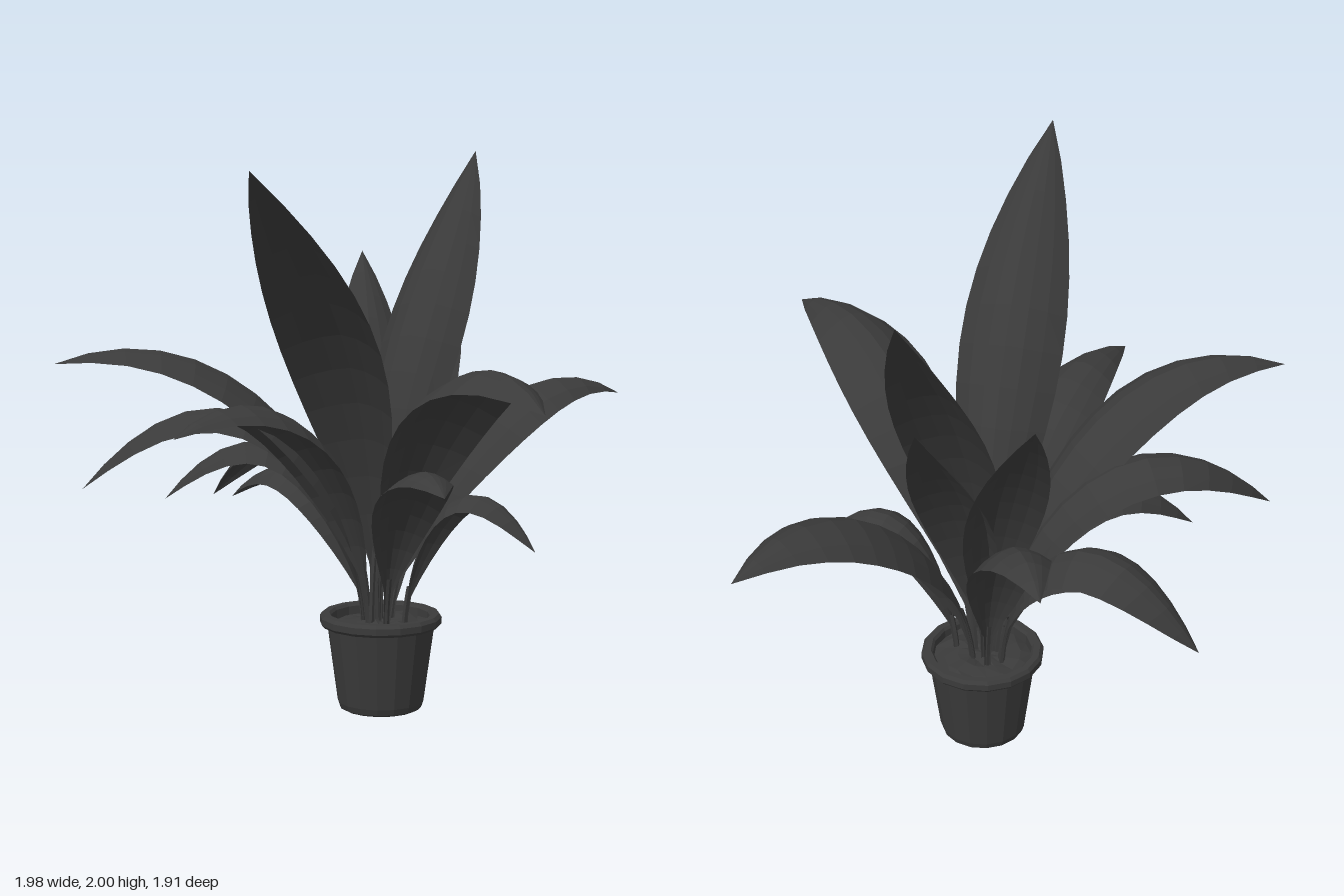
import * as THREE from 'three';

const CX = 0.13, CZ = -0.14; // pot centre
const material = new THREE.MeshStandardMaterial({ color: 0x3a3a3a, flatShading: true, side: THREE.DoubleSide });

// tip x, y, z, half width, heights of the two inner control points of the arch,
// distance of the stalk foot from the pot centre, sideways bow
const LEAVES = [
  [-0.22, 1.99, 0.82, 0.19, 1.28, 1.66, 0.02, -0.02],
  [0.44, 2.00, -0.76, 0.165, 1.20, 1.58, -0.07, 0.03],
  [-0.99, 1.29, 0.18, 0.17, 0.95, 1.53, 0.04, -0.14],
  [-0.93, 0.82, 0.01, 0.14, 0.94, 1.44, 0.05, 0.12],
  [0.72, 1.24, 0.95, 0.185, 0.98, 1.59, 0.04, 0],
  [0.40, 0.94, 0.76, 0.125, 0.72, 1.13, 0.09, 0],
  [-0.49, 1.11, 0.70, 0.15, 0.95, 1.38, 0.06, 0],
  [0.69, 0.65, 0.18, 0.10, 0.70, 1.06, 0.10, 0],
  [0.99, 1.09, -0.74, 0.175, 0.82, 1.38, 0.04, 0.05],
  [0.01, 1.10, -0.96, 0.135, 0.80, 1.29, 0.07, 0],
  [0.01, 1.62, -0.78, 0.14, 0.95, 1.34, 0.02, 0],
  [-0.56, 0.68, -0.70, 0.14, 0.80, 1.28, 0.08, 0.08],
  [-0.46, 0.71, -0.50, 0.125, 0.75, 1.04, 0.07, 0],
  [-0.64, 0.78, -0.04, 0.13, 0.85, 1.25, 0.06, 0],
  [0.38, 1.53, -0.61, 0.14, 1.00, 1.20, -0.02, 0],
];

// Arching midrib from the soil to the leaf tip
function midrib([x, y, z, , a, b, foot, bow]) {
  const dir = new THREE.Vector3(x - CX, 0, z - CZ);
  const reach = dir.length();
  dir.normalize();
  const side = new THREE.Vector3(-dir.z, 0, dir.x);
  const at = (s, h) => new THREE.Vector3(CX, h, CZ).addScaledVector(dir, foot + s * (reach - foot));
  const curve = new THREE.CubicBezierCurve3(
    at(0, 0.29), at(0.04, a), at(0.5, b).addScaledVector(side, bow), at(1, y));
  return { curve, side };
}

// Blade: rounded sections with drooping edges swept along the midrib
function bladeGeometry(curve, side, halfWidth) {
  const rows = 14, cols = 6, pos = [], index = [];
  for (let i = 0; i <= rows; i++) {
    const t = i / rows;
    const p = curve.getPointAt(t);
    const up = side.clone().cross(curve.getTangentAt(t)).normalize();
    const u = Math.max(0, (t - 0.1) / 0.9);
    const bulge = Math.pow(Math.abs(Math.sin(Math.PI * Math.pow(u, 1.12))), 0.88);
    const w = i === rows ? 0 : Math.max(0.012, halfWidth * bulge);
    for (let j = 0; j <= cols; j++) {
      const k = j / cols * 2 - 1;
      const droop = 0.12 * Math.abs(k) + 0.4 * k * k;
      const v = p.clone().addScaledVector(side, k * w).addScaledVector(up, -droop * w);
      pos.push(v.x, v.y, v.z);
    }
  }
  for (let i = 0; i < rows; i++) {
    for (let j = 0; j < cols; j++) {
      const a = i * (cols + 1) + j, b = a + cols + 1;
      index.push(a, a + 1, b, a + 1, b + 1, b);
    }
  }
  const g = new THREE.BufferGeometry();
  g.setAttribute('position', new THREE.Float32BufferAttribute(pos, 3));
  g.setIndex(index);
  g.computeVertexNormals();
  return g;
}

// Stalk: slim tube along the lowest part of the midrib
function stalkGeometry(curve) {
  const pts = [0, 0.06, 0.12, 0.18].map(t => curve.getPointAt(t));
  return new THREE.TubeGeometry(new THREE.CatmullRomCurve3(pts), 5, 0.01, 5);
}

function lathe(points, segments) {
  return new THREE.LatheGeometry(points.map(([r, y]) => new THREE.Vector2(r, y)), segments);
}

export function createModel() {
  const plant = new THREE.Group();
  plant.name = 'pottedPlant';
  const add = (parent, geometry, name) => {
    const mesh = new THREE.Mesh(geometry, material);
    mesh.name = name;
    parent.add(mesh);
    return mesh;
  };

  // Tapered pot with rolled rim
  const pot = add(plant, lathe([
    [0, 0], [0.135, 0], [0.15, 0.008], [0.157, 0.03], [0.195, 0.31], [0.213, 0.31], [0.222, 0.32],
    [0.222, 0.343], [0.212, 0.355], [0.188, 0.355], [0.18, 0.345], [0.176, 0.29],
  ], 16), 'pot');
  pot.position.set(CX, 0, CZ);

  // Uneven soil surface
  const soilShape = lathe([[0.18, 0.315], [0.14, 0.325], [0.09, 0.33], [0.045, 0.33], [0, 0.33]], 16);
  const sp = soilShape.attributes.position;
  for (let i = 0; i < sp.count; i++) {
    const x = sp.getX(i), z = sp.getZ(i);
    sp.setY(i, sp.getY(i) + 0.012 * Math.sin(x * 70) * Math.cos(z * 60));
  }
  add(plant, soilShape, 'soil').position.set(CX, 0, CZ);

  // Leaves
  for (const spec of LEAVES) {
    const { curve, side } = midrib(spec);
    const leaf = new THREE.Group();
    leaf.name = 'leaf';
    add(leaf, bladeGeometry(curve, side, spec[3]), 'blade');
    add(leaf, stalkGeometry(curve), 'stalk');
    plant.add(leaf);
  }
  return plant;
}
